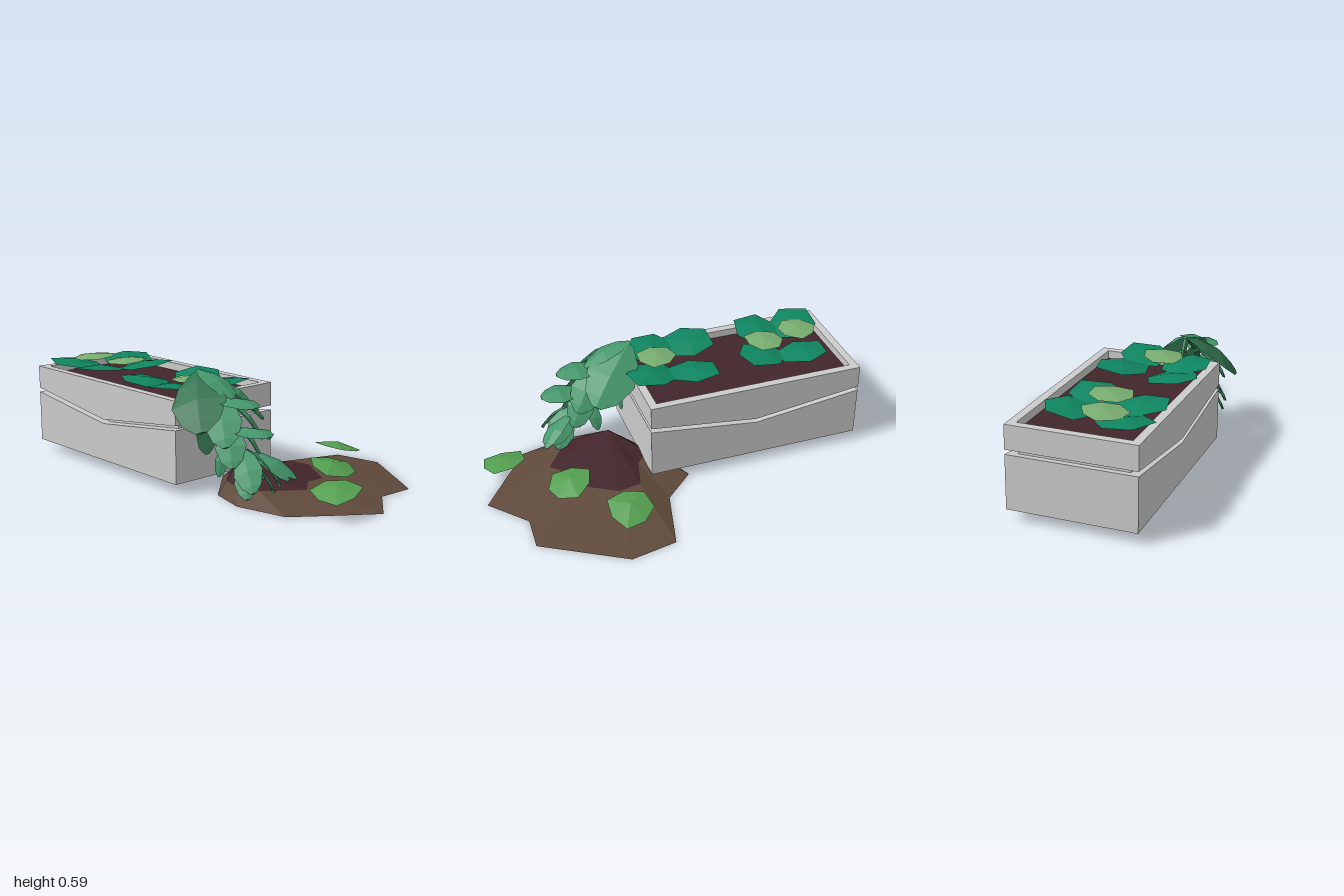
import * as THREE from 'three';

const V = (x, y, z) => new THREE.Vector3(x, y, z);
const mat = (color) => new THREE.MeshStandardMaterial({ color, flatShading: true, side: THREE.DoubleSide });
const STONE = mat(0xcccccc), SOIL = mat(0x42252a), DIRT = mat(0x5f4a3b);
const DARK = mat(0x0f8560), PALE = mat(0x78ad70), GRASS = mat(0x539e50);
const TRAIL = mat(0x43966a), TRAIL_DEEP = mat(0x32744f);

function add(parent, name, geometry, material) {
  const mesh = new THREE.Mesh(geometry, material);
  mesh.name = name;
  parent.add(mesh);
  return mesh;
}

function box(parent, name, x0, x1, y0, y1, z0, z1, material) {
  const mesh = add(parent, name, new THREE.BoxGeometry(x1 - x0, y1 - y0, z1 - z0), material);
  mesh.position.set((x0 + x1) / 2, (y0 + y1) / 2, (z0 + z1) / 2);
}

// Triangles from a list of vector triples
function facets(triangles) {
  const g = new THREE.BufferGeometry().setFromPoints(triangles.flat());
  g.computeVertexNormals();
  return g;
}

// Fan around a centre; the ring runs from +x towards +z
function fan(centre, ring) {
  return ring.map((p, i) => [centre, ring[(i + 1) % ring.length], p]);
}

// Broad faceted leaf: raised centre, uneven rim, whole leaf sloping along (dx, dz)
function broadLeaf(parent, name, [x, y, z], r, sides, [dx, dz], slope, dome, material) {
  const turn = x * 7 + z * 5;
  const ring = Array.from({ length: sides }, (_, i) => {
    const a = turn + (i / sides) * Math.PI * 2;
    const rad = r * (1 + 0.1 * Math.sin(i * 2.4 + turn * 3));
    const px = Math.cos(a) * rad, pz = Math.sin(a) * rad;
    return V(px, (px * dx + pz * dz) * slope, pz);
  });
  add(parent, name, facets(fan(V(0, dome, 0), ring)), material).position.set(x, y, z);
}

// Long leaf from base to tip, folded along its midrib and closed underneath
function longLeaf(parent, name, base, tip, up, width, material) {
  const z = tip.clone().sub(base), len = z.length();
  z.normalize();
  const x = up.clone().cross(z).normalize(), y = z.clone().cross(x);
  const rows = [[0, 0.1], [0.22, 0.36], [0.55, 0.5], [0.85, 0.34], [1, 0.1]];
  const tris = [];
  const quad = (a, b, c, d) => tris.push([a, b, c], [a, c, d]);
  const sec = rows.map(([t, w]) => {
    const arch = Math.sin(t * Math.PI) * len * 0.1;
    const h = w * width;
    return [V(-h, arch - h * 0.25, t * len), V(0, arch, t * len), V(h, arch - h * 0.25, t * len), V(0, arch - 0.014, t * len)];
  });
  for (let i = 0; i < sec.length - 1; i++) {
    for (let k = 0; k < 4; k++) {
      const n = (k + 1) % 4;
      quad(sec[i][k], sec[i + 1][k], sec[i + 1][n], sec[i][n]);
    }
  }
  const end = sec[sec.length - 1];
  quad(...sec[0]);
  quad(end[3], end[2], end[1], end[0]);
  const mesh = add(parent, name, facets(tris), material);
  mesh.applyMatrix4(new THREE.Matrix4().makeBasis(x, y, z).setPosition(base));
}

function planter() {
  const g = new THREE.Group();
  g.name = 'planter';
  const x0 = -1, x1 = 0.155, z0 = -0.085, z1 = 0.545, mid = -0.4225, wall = 0.042, bed = 0.425, top = 0.465;
  // Two blocks parted by a V-shaped groove
  const block = (name, pts) => {
    const shape = new THREE.Shape(pts.map(([x, y]) => new THREE.Vector2(x, y)));
    const geo = new THREE.ExtrudeGeometry(shape, { depth: z1 - z0, bevelEnabled: false });
    add(g, name, geo, STONE).position.z = z0;
  };
  block('lowerBlock', [[x0, 0.055], [x1, 0.055], [x1, 0.322], [mid, 0.25], [x0, 0.322]]);
  block('upperBlock', [[x0, 0.345], [mid, 0.272], [x1, 0.345], [x1, bed - 0.005], [x0, bed - 0.005]]);
  box(g, 'grooveCore', x0 + 0.038, x1 - 0.038, 0.2, 0.38, z0 + 0.05, z1 - 0.05, STONE);
  // Raised rim and the bed of soil inside it
  const rim = new THREE.Shape([[x0, z0], [x1, z0], [x1, z1], [x0, z1]].map(([x, z]) => new THREE.Vector2(x, -z)));
  rim.holes.push(new THREE.Path([[x0 + wall, z0 + wall], [x0 + wall, z1 - wall], [x1 - wall, z1 - wall], [x1 - wall, z0 + wall]]
    .map(([x, z]) => new THREE.Vector2(x, -z))));
  const rimGeo = new THREE.ExtrudeGeometry(rim, { depth: top - bed + 0.005, bevelEnabled: false }).rotateX(-Math.PI / 2);
  add(g, 'rim', rimGeo, STONE).position.y = bed - 0.005;
  box(g, 'soilBed', x0 + wall, x1 - wall, bed - 0.02, bed, z0 + wall, z1 - wall, SOIL);
  return g;
}

function mound() {
  const g = new THREE.Group();
  g.name = 'dirtMound';
  const apex = V(0.28, 0.118, 0.28);
  const rim = [[0.19, -0.56], [0.43, -0.605], [0.84, -0.36], [0.83, -0.17], [1, 0.02], [0.86, 0.21],
    [0.73, 0.38], [0.47, 0.44], [0.28, 0.39], [0.06, 0.16], [-0.05, -0.08], [0.11, -0.23]].map(([x, z]) => V(x, 0, z));
  const ring = rim.map((p) => p.clone().lerp(apex, 0.5));
  const slopes = rim.flatMap((p, i) => {
    const n = (i + 1) % rim.length;
    return [[ring[i], ring[n], rim[n]], [ring[i], rim[n], p]];
  });
  const bottom = fan(V(0.4, 0, -0.05), rim).map(([a, b, c]) => [a, c, b]);
  add(g, 'moundSlopes', facets([...slopes, ...bottom]), DIRT);
  add(g, 'darkSoil', facets(fan(apex, ring)), SOIL);
  // Leaves drooping away from the middle of the mound
  for (const [x, z, dx, dz] of [[0.36, -0.37, 0.1, -1], [0.59, -0.08, 1, -0.2], [0.87, 0.2, 0.4, 0.9]]) {
    broadLeaf(g, 'groundLeaf', [x, 0.115, z], 0.115, 7, [dx, dz], -0.24, 0.028, GRASS);
  }
  return g;
}

// Rosette of dark leaves turned up at the outside, with paler leaves on top
function rosette(cx, cz, pale) {
  const g = new THREE.Group();
  g.name = 'rosette';
  for (const [x, z] of [[-0.06, -0.14], [0.15, -0.1], [-0.13, 0.14], [0.08, 0.14]]) {
    const d = Math.hypot(x, z);
    broadLeaf(g, 'darkLeaf', [cx + x, 0.488, cz + z], 0.138, 6, [x / d, z / d], 0.14, 0.022, DARK);
  }
  for (const [x, z] of pale) broadLeaf(g, 'paleLeaf', [cx + x, 0.515, cz + z], 0.108, 7, [0.3, -0.5], 0.08, 0.018, PALE);
  return g;
}

// Leafy vine spilling over the planter's end
function vine() {
  const g = new THREE.Group();
  g.name = 'trailingVine';
  const zc = 0.37;
  const path = new THREE.CatmullRomCurve3([V(0.09, 0.43, zc), V(0.13, 0.56, zc), V(0.28, 0.49, zc),
    V(0.37, 0.38, zc), V(0.43, 0.25, zc), V(0.54, 0.13, zc - 0.04)]);
  add(g, 'stem', new THREE.TubeGeometry(path, 16, 0.014, 5), TRAIL_DEEP);
  // Mirrored leaf pairs: base x, y; tip x, y, z spread; width
  const pairs = [
    [0.13, 0.585, 0.37, 0.36, 0.2, 0.27], [0.3, 0.48, 0.45, 0.29, 0.12, 0.18],
    [0.36, 0.37, 0.47, 0.19, 0.1, 0.15], [0.45, 0.26, 0.6, 0.1, 0.09, 0.14],
    [0.46, 0.2, 0.56, 0.06, 0.09, 0.11], [0.34, 0.27, 0.33, 0.11, 0.06, 0.07],
  ];
  pairs.forEach(([bx, by, tx, ty, dz, w], i) => {
    for (const s of [1, -1]) {
      longLeaf(g, 'sideLeaf', V(bx, by, zc + s * 0.015), V(tx, ty, zc + s * dz),
        V(0.45, 0.6, s * 0.75), w, i === 0 && s > 0 ? TRAIL_DEEP : TRAIL);
    }
  });
  // Middle leaves: some level, some hanging
  const middle = [
    [0.12, 0.59, 0.37, 0.49, 0.12, 1, 0.14], [0.28, 0.47, 0.52, 0.47, 0, 1, 0.18],
    [0.4, 0.35, 0.61, 0.35, 0, 1, 0.18], [0.185, 0.45, 0.185, 0.18, 1, 0, 0.16],
    [0.43, 0.26, 0.42, 0.11, 1, 0, 0.08],
  ];
  for (const [bx, by, tx, ty, ux, uy, w] of middle) {
    longLeaf(g, 'middleLeaf', V(bx, by, zc), V(tx, ty, zc), V(ux, uy, 0), w, TRAIL);
  }
  // Small shoots at the tip
  for (const z of [0.22, 0.27]) longLeaf(g, 'tipLeaf', V(0.46, 0.24, 0.34), V(0.64, 0.13, z), V(0.4, 1, 0), 0.1, TRAIL);
  return g;
}

export function createModel() {
  const model = new THREE.Group();
  model.name = 'planterWithSpilledDirt';
  model.add(planter(), mound(), vine());
  model.add(rosette(-0.7, 0.27, [[-0.11, 0.04], [0.1, -0.01]]), rosette(-0.09, 0.28, [[0.09, 0.02]]));
  return model;
}
